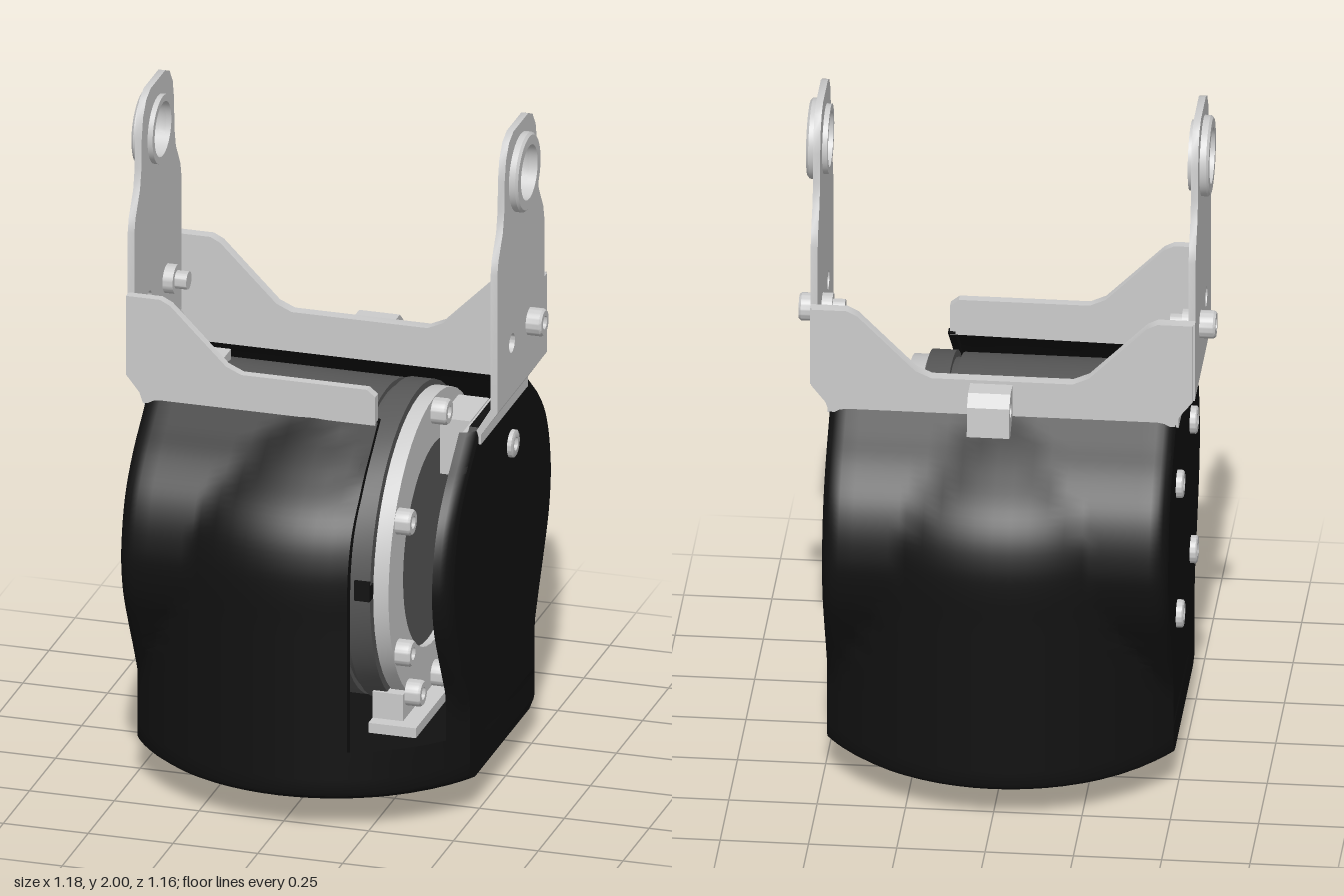
import * as THREE from 'three';
import { toCreasedNormals } from 'three/addons/utils/BufferGeometryUtils.js';

const mat = (color) => new THREE.MeshStandardMaterial({ color, side: THREE.DoubleSide });
const grey = mat(0xcccccc), black = mat(0x111111), dark = mat(0x585858);
const V = (x, y) => new THREE.Vector2(x, y);

// Half depth of the housing over height: at its middle (bulge) and at its flat sides
const heights = [0.1, 0.25, 0.4, 0.5, 0.62, 0.72, 0.8, 0.88, 0.95, 1.02, 1.08, 1.14];
const middle = [0.58, 0.58, 0.58, 0.58, 0.58, 0.58, 0.572, 0.547, 0.5, 0.42, 0.34, 0.25];
const sides = [0.31, 0.32, 0.385, 0.435, 0.49, 0.51, 0.505, 0.485, 0.45, 0.39, 0.32, 0.25];
const sample = (vals) => new THREE.SplineCurve(heights.map((y, i) => V(y, vals[i]))).getPoints(44);
const midRows = sample(middle), sideRows = sample(sides);
const rows = midRows.map((p, i) => ({ y: p.x, r: p.y, w: sideRows[i].y }));
rows.splice(1, 0, { y: 0.115, r: 0.575, w: 0.305 });
rows[0] = { y: 0.1, r: 0.555, w: 0.285 };

function halfDepth(x, row) {
  const a = Math.abs(x), c = Math.max(0, a - 0.44);
  const corner = 0.05 - Math.sqrt(Math.max(0, 0.0025 - c * c));
  return Math.max(row.w - corner, Math.sqrt(Math.max(0, row.r ** 2 - x * x)));
}

export function createModel() {
  const model = new THREE.Group();

  function add(name, geo, material = grey) {
    const mesh = new THREE.Mesh(geo, material);
    mesh.name = name;
    model.add(mesh);
    return mesh;
  }
  // Extruded plate: outline in (x,y) along z, (z,y) along x, or (x,z) along y
  function plate(name, pts, axis, from, to, holes = [], material = grey) {
    const flip = ([a, b]) => axis === 'x' ? V(-a, b) : axis === 'y' ? V(a, -b) : V(a, b);
    const shape = new THREE.Shape(pts.map(flip));
    for (const [a, b, r] of holes) {
      const c = flip([a, b]);
      shape.holes.push(new THREE.Path().absarc(c.x, c.y, r, 0, Math.PI * 2, true));
    }
    let geo = new THREE.ExtrudeGeometry(shape, { depth: to - from, bevelEnabled: false, curveSegments: 24 });
    geo.translate(0, 0, from);
    if (axis === 'x') geo.rotateY(Math.PI / 2);
    if (axis === 'y') geo.rotateX(-Math.PI / 2);
    return add(name, toCreasedNormals(geo, 0.6), material);
  }
  function box(name, x0, x1, y0, y1, z0, z1, material = grey) {
    const geo = new THREE.BoxGeometry(x1 - x0, y1 - y0, z1 - z0);
    geo.translate((x0 + x1) / 2, (y0 + y1) / 2, (z0 + z1) / 2);
    return add(name, geo, material);
  }
  // Turned part around the x axis, profile as [radius, x]
  function turned(name, profile, y, z, material = grey, dir = 1, x = 0) {
    const geo = new THREE.LatheGeometry(profile.map(([r, h]) => V(r, h)), 48);
    geo.rotateZ(-Math.PI / 2 * dir);
    const mesh = add(name, toCreasedNormals(geo, 0.6), material);
    mesh.position.set(x, y, z);
    return mesh;
  }
  const screw = (x, y, z, dir = 1, len = 0.05, r = 0.04) => turned('screw',
    [[r, 0], [r, len * 0.85], [r * 0.88, len], [r * 0.48, len], [r * 0.48, len * 0.4], [0, len * 0.4]], y, z, grey, dir, x);
  const circle = (cx, cy, r, n = 64) => Array.from({ length: n }, (_, i) =>
    [cx + r * Math.cos(i / n * Math.PI * 2), cy + r * Math.sin(i / n * Math.PI * 2)]);

  // Housing skin: front and back lofted over x and height, with a slot in the front
  const xs = [0.49, 0.485, 0.475, 0.46, 0.44, 0.4, 0.35, 0.3, 0.27, 0.25, 0.2, 0.15, 0.1, 0.05];
  const cols = [...xs.map((x) => -x), 0, ...xs.slice().reverse()];
  const pos = [], idx = [];
  for (const s of [1, -1]) {
    const base = pos.length / 3;
    for (const row of rows) for (const x of cols) pos.push(x, row.y, s * halfDepth(x, row));
    for (let j = 0; j < rows.length - 1; j++) for (let i = 0; i < cols.length - 1; i++) {
      const xm = (cols[i] + cols[i + 1]) / 2;
      if (s > 0 && xm > 0.2 && xm < 0.44 && rows[j].y > 0.21) continue;
      const a = base + j * cols.length + i, b = a + 1, c = a + cols.length, d = c + 1;
      idx.push(...(s > 0 ? [a, b, d, a, d, c] : [a, d, b, a, c, d]));
    }
  }
  const skin = new THREE.BufferGeometry();
  skin.setAttribute('position', new THREE.Float32BufferAttribute(pos, 3));
  skin.setIndex(idx);
  add('housingSkin', toCreasedNormals(skin, 0.5), black);

  // Housing side walls, slot lip and floor
  const wall = [...rows.map((r) => [halfDepth(0.49, r), r.y]), ...rows.slice().reverse().map((r) => [-halfDepth(0.49, r), r.y])];
  plate('leftWall', wall, 'x', 0.455, 0.49, [], black);
  plate('rightWall', wall, 'x', -0.49, -0.455, [], black);
  const lipRows = rows.filter((r) => r.y > 0.18);
  plate('slotLip', [...lipRows.map((r) => [halfDepth(0.2, r), r.y]),
    ...lipRows.slice().reverse().map((r) => [halfDepth(0.2, r) - 0.03, r.y])], 'x', 0.18, 0.2, [], black);
  const outline = (row) => [...cols.map((x) => [x, halfDepth(x, row)]), ...cols.slice().reverse().map((x) => [x, -halfDepth(x, row)])];
  plate('housingBottom', outline(rows[0]), 'y', 0.1, 0.12, [], black);
  plate('housingFloor', outline({ r: 0.575, w: 0.3 }), 'y', 0.19, 0.21, [], black);

  // Output flange under the housing
  const bolts = Array.from({ length: 6 }, (_, i) => [-0.02 + 0.185 * Math.cos(i * Math.PI / 3), 0.185 * Math.sin(i * Math.PI / 3), 0.02]);
  plate('outputFlange', circle(-0.02, 0, 0.25), 'y', 0.012, 0.1, [[-0.02, 0, 0.1], ...bolts]);
  plate('flangeStop', [[0.2, -0.08], [0.32, -0.08], [0.32, -0.03], [0.28, -0.015], [0.28, 0.015], [0.32, 0.03], [0.32, 0.08], [0.2, 0.08]], 'y', 0, 0.1);

  // Motor drum with its gear ring, end plate and screws
  const my = 0.69;
  turned('motor', [[0, -0.44], [0.43, -0.44], [0.45, -0.42], [0.45, 0.15], [0.435, 0.15], [0.435, 0.17], [0.455, 0.17],
    [0.455, 0.24], [0, 0.24]], my, 0, dark);
  turned('endPlate', [[0.3, 0.245], [0.44, 0.245], [0.44, 0.29], [0.3, 0.29], [0.3, 0.245]], my, 0);
  turned('endHub', [[0.3, 0.25], [0.3, 0.27], [0, 0.27]], my, 0, dark);
  for (let i = 0; i < 6; i++) {
    const a = Math.PI / 2 + i * Math.PI / 3;
    screw(0.29, my + 0.4 * Math.sin(a), 0.4 * Math.cos(a), 1, 0.045, 0.038);
  }
  box('ringTab', 0.195, 0.24, 0.68, 0.74, 0.4, 0.46, black);
  box('motorFoot', 0.2, 0.34, 0.23, 0.26, -0.22, 0.34);
  box('footBlock', 0.2, 0.29, 0.26, 0.34, 0.1, 0.3);
  screw(0.29, 0.33, 0.25, 1, 0.045, 0.038);
  box('connector', -0.42, -0.34, 1.1, 1.16, -0.1, 0.11);
  box('connectorSocket', -0.425, -0.37, 1.08, 1.155, -0.11, -0.1, black);

  // Inner support plate and clip beside the left wall
  plate('innerPlate', [[-0.22, 0.25], [0.3, 0.25], [0.36, 0.5], [0.36, 0.85], [0.23, 1.12], [-0.22, 1.12]], 'x', 0.435, 0.447);
  box('clip', 0.3, 0.39, 0.89, 1.06, -0.2, -0.02);
  screw(0.38, 0.98, -0.08, 1, 0.045);

  // Yoke cross plates: full width at the back, cut short at the front
  const top = [[-0.54, 1.44], [-0.44, 1.44], [-0.41, 1.425], [-0.245, 1.26], [-0.2, 1.24]];
  const mirror = (pts) => pts.slice().reverse().map(([x, y]) => [-x, y]);
  const foot = [[-0.49, 1.12], [-0.5, 1.15], [-0.54, 1.2]];
  plate('backCrossPlate', [...top, ...mirror(top), ...mirror(foot), ...foot], 'z', -0.26, -0.225);
  plate('frontCrossPlate', [...top, [0.17, 1.24], [0.195, 1.22], [0.195, 1.13], ...foot], 'z', 0.23, 0.258);
  plate('cableTab', [[-0.24, 1.23], [-0.32, 1.23], [-0.355, 1.2], [-0.36, 1.11], [-0.33, 1.1], [-0.24, 1.15]],
    'x', -0.03, 0.09, [[-0.31, 1.175, 0.022]]);

  // Yoke ears with bearing rings, bent lower flanges and screws
  const half = [[0.225, 1.2], [0.225, 1.62], [0.215, 1.66], [0.172, 1.73], [0.158, 1.79], [0.155, 1.88],
    [0.142, 1.94], [0.112, 1.982], [0.07, 2]];
  for (const s of [1, -1]) {
    const ear = [...half, ...half.slice().reverse().map(([z, y]) => [-z, y])];
    plate('ear', ear, 'x', s > 0 ? 0.525 : -0.545, s > 0 ? 0.545 : -0.525, [[0, 1.85, 0.08], [0.085, 1.36, 0.028]]);
    turned('bearingRing', [[0.08, 0.51], [0.1, 0.51], [0.1, 0.545], [0.115, 0.545], [0.115, 0.563], [0.108, 0.57], [0.08, 0.57], [0.08, 0.51]],
      1.85, 0, grey, s);
    plate('bentFlange', [[0.545, 1.22], [0.545, 1.2], [0.497, 1.13], [0.497, 1.1], [0.48, 1.1], [0.48, 1.135], [0.525, 1.21], [0.525, 1.22]]
      .map(([x, y]) => [s * x, y]), 'z', -0.225, 0.225);
    screw(s * 0.545, 1.36, -0.085, s, 0.045);
    turned('nut', [[0, 0.46], [0.026, 0.46], [0.026, 0.495], [0.042, 0.495], [0.042, 0.526]], 1.36, -0.085, grey, s);
  }
  // Side strip closing the yoke between ear and back plate
  for (const s of [1, -1]) box('earReturn', s * 0.535 - 0.01, s * 0.535 + 0.01, 1.2, 1.44, -0.25, -0.2);

  // Housing screws
  screw(0.485, 0.98, -0.085, 1, 0.02);
  for (const y of [0.91, 0.5]) for (const z of [0.2, -0.2]) screw(-0.485, y, z, -1, 0.025);

  return model;
}
